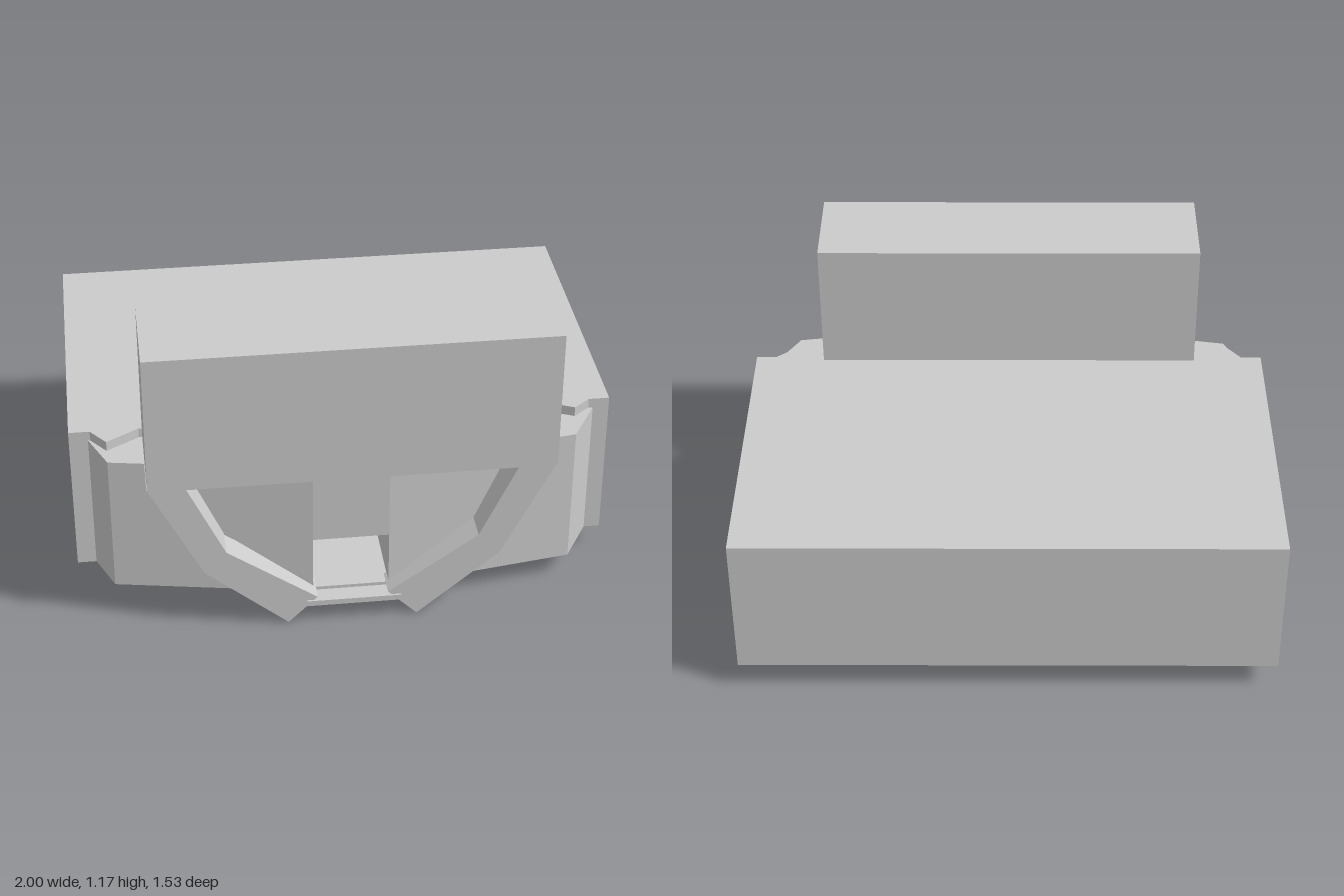
import * as THREE from 'three';

const material = new THREE.MeshStandardMaterial({ color: 0xcccccc, flatShading: true });

function extrude(points, depth) {
  const shape = new THREE.Shape(points.map(([a, b]) => new THREE.Vector2(a, b)));
  return new THREE.ExtrudeGeometry(shape, { depth, bevelEnabled: false });
}

function add(parent, name, geometry) {
  const mesh = new THREE.Mesh(geometry, material);
  mesh.name = name;
  parent.add(mesh);
  return mesh;
}

// Horizontal slab from a plan outline of [x, z] points
function slab(parent, name, plan, y0, y1) {
  const geometry = extrude(plan.map(([x, z]) => [x, -z]), y1 - y0);
  add(parent, name, geometry.rotateX(-Math.PI / 2).translate(0, y0, 0));
}

// Upright plate from a front outline of [x, y] points
function plate(parent, name, outline, z0, z1) {
  add(parent, name, extrude(outline, z1 - z0).translate(0, 0, z0));
}

function box(parent, name, [x0, x1], [y0, y1], [z0, z1]) {
  const mesh = add(parent, name, new THREE.BoxGeometry(x1 - x0, y1 - y0, z1 - z0));
  mesh.position.set((x0 + x1) / 2, (y0 + y1) / 2, (z0 + z1) / 2);
}

// Body plan with its faceted nose; the notch is the slot in the nose
function bodyPlan(back, notch) {
  const slot = notch ? [[-0.14, 0.3], [0.14, 0.3]] : [];
  return [
    [-1, back], [-1, 0.41], [-0.93, 0.41], [-0.865, 0.56], [-0.14, 0.69],
    ...slot,
    [0.14, 0.69], [0.84, 0.58], [0.94, 0.41], [1, 0.41], [1, back],
  ];
}

export function createModel() {
  const model = new THREE.Group();
  model.name = 'model';

  // Body in layers: stepped base, slotted middle, upper nose, lid
  const body = new THREE.Group();
  body.name = 'body';
  model.add(body);
  slab(body, 'base', bodyPlan(-0.61, false), 0.09, 0.11);
  slab(body, 'slottedLayer', bodyPlan(-0.765, true), 0.11, 0.325);
  slab(body, 'upperLayer', bodyPlan(-0.765, false), 0.325, 0.637);
  box(body, 'lid', [-1, 1], [0.637, 0.675], [-0.765, 0.41]);

  // Small wedges on the nose in front of the lid
  slab(body, 'rightWedge', [[-0.93, 0.4], [-0.865, 0.485], [-0.73, 0.4]], 0.637, 0.675);
  slab(body, 'leftWedge', [[0.935, 0.4], [0.86, 0.46], [0.73, 0.4]], 0.637, 0.675);

  // Block standing over the nose
  box(model, 'upperBlock', [-0.733, 0.733], [0.637, 1.175], [0.39, 0.765]);

  // Bent support brackets under the block
  for (const [name, side] of [['leftBracket', 1], ['rightBracket', -1]]) {
    const bracket = new THREE.Group();
    bracket.name = name;
    model.add(bracket);
    const mirror = (points) => points.map(([x, y]) => [side * x, y]);
    plate(bracket, name + 'Lower', mirror([
      [0.54, 0.255], [0.238, 0.003], [0.13, 0.11], [0.46, 0.34],
    ]), 0.64, 0.75);
    plate(bracket, name + 'Upper', mirror([
      [0.735, 0.637], [0.54, 0.255], [0.46, 0.34], [0.6, 0.637],
    ]), 0.58, 0.75);
  }

  // Tray joining the brackets below the slot
  box(model, 'tray', [-0.17, 0.18], [0.075, 0.097], [0.66, 0.757]);

  return model;
}
